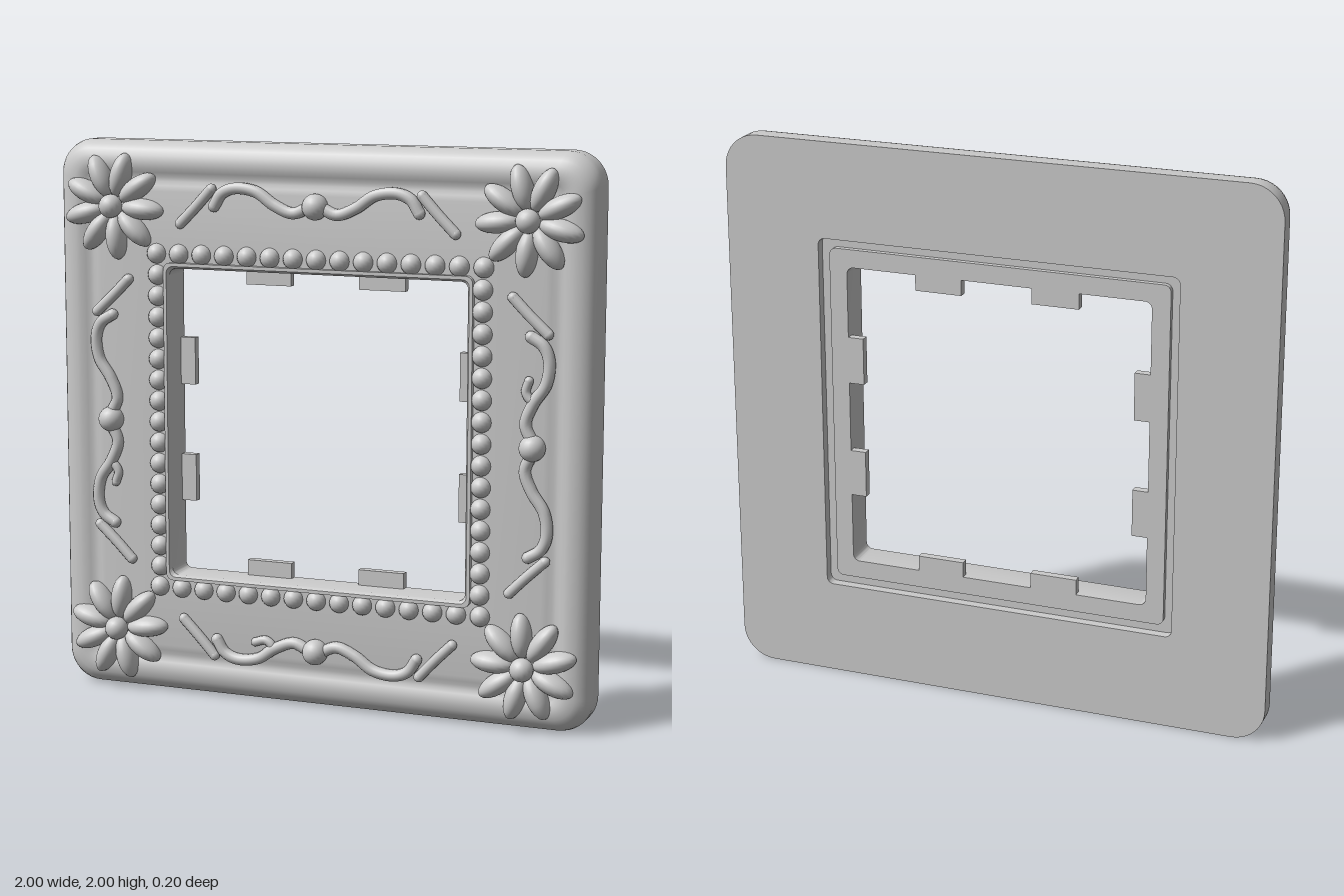
import * as THREE from 'three';
import { toCreasedNormals } from 'three/addons/utils/BufferGeometryUtils.js';

const material = new THREE.MeshStandardMaterial({ color: 0xcccccc });

function add(parent, name, geometry, x = 0, y = 0, z = 0) {
  const mesh = new THREE.Mesh(geometry, material);
  mesh.name = name;
  mesh.position.set(x, y, z);
  parent.add(mesh);
  return mesh;
}

// Counter-clockwise rounded square of half size h and corner radius r
function roundedSquare(h, r, z, steps = 10) {
  const points = [];
  for (let c = 0; c < 4; c++) {
    const sx = c === 0 || c === 3 ? 1 : -1, sy = c < 2 ? 1 : -1;
    for (let s = 0; s <= steps; s++) {
      const a = (c + s / steps) * Math.PI / 2;
      points.push([sx * (h - r) + r * Math.cos(a), sy * (h - r) + r * Math.sin(a), z]);
    }
  }
  return points;
}

// Closed moulding: a [half size, z] cross-section carried round the frame
function frameGeometry(profile) {
  const rings = profile.map(([h, z]) => roundedSquare(h, Math.max(0.025, 0.12 - (1 - h) * 0.7), z));
  const n = rings[0].length, pos = [];
  rings.forEach((ring, i) => {
    const next = rings[(i + 1) % rings.length];
    for (let j = 0; j < n; j++) {
      const k = (j + 1) % n;
      pos.push(...ring[j], ...ring[k], ...next[j], ...ring[k], ...next[k], ...next[j]);
    }
  });
  const g = new THREE.BufferGeometry();
  g.setAttribute('position', new THREE.Float32BufferAttribute(pos, 3));
  return toCreasedNormals(g, 0.6);
}

// Round rod through [u, v] points with domed ends
function vine(parent, name, points, radius) {
  const z = 0.034;
  const curve = new THREE.CatmullRomCurve3(points.map(([u, v]) => new THREE.Vector3(u, v, z)));
  add(parent, name, new THREE.TubeGeometry(curve, 36, radius, 10));
  for (const [u, v] of [points[0], points[points.length - 1]])
    add(parent, name + 'End', new THREE.SphereGeometry(radius, 12, 8), u, v, z);
}

// Nine-petalled corner blossom
function blossom() {
  const flower = new THREE.Group();
  flower.name = 'cornerFlower';
  for (let i = 0; i < 9; i++) {
    const a = i * Math.PI * 2 / 9;
    const petal = add(flower, 'petal', new THREE.SphereGeometry(1, 20, 14),
      0.113 * Math.cos(a), 0.113 * Math.sin(a), 0.03);
    petal.scale.set(0.08, 0.037, 0.05);
    petal.rotation.z = a;
  }
  add(flower, 'flowerCentre', new THREE.SphereGeometry(0.042, 20, 14), 0, 0, 0.058);
  return flower;
}

export function createModel() {
  const model = new THREE.Group();
  model.name = 'ornateFrame';
  const body = new THREE.Group();
  body.name = 'frame';
  body.position.y = 1;
  model.add(body);

  // Plate: back groove, rounded outer rim, cove, flat field and window lip
  add(body, 'plate', frameGeometry([
    [0.555, -0.09], [0.62, -0.09], [0.62, -0.07], [0.655, -0.07], [0.655, -0.105], [1, -0.105],
    [1, -0.04], [0.995, -0.02], [0.985, -0.003], [0.97, 0.012], [0.95, 0.022], [0.925, 0.027],
    [0.905, 0.025], [0.89, 0.019], [0.875, 0.013], [0.86, 0.013], [0.845, 0.018], [0.825, 0.022],
    [0.575, 0.022], [0.575, 0.042], [0.563, 0.042], [0.555, 0.03],
  ]));

  // Beads around the window
  const bead = new THREE.SphereGeometry(0.036, 16, 12);
  for (const side of [-1, 1]) {
    for (let i = 0; i < 15; i++) add(body, 'bead', bead, -0.608 + i * 1.216 / 14, side * 0.605, 0.02);
    for (let i = 1; i < 16; i++) add(body, 'bead', bead, side * 0.605, -0.605 + i * 1.21 / 16, 0.02);
  }

  // Corner flowers
  for (const sx of [-1, 1]) for (const sy of [-1, 1]) {
    const flower = blossom();
    flower.position.set(sx * 0.77, sy * 0.77, 0);
    flower.rotation.z = Math.atan2(sy, sx) + Math.PI / 9;
    body.add(flower);
  }

  // Scrollwork and window tabs, repeated on the four sides
  const curlSides = [0, -1, 1, -1];
  for (let q = 0; q < 4; q++) {
    const side = new THREE.Group();
    side.name = 'side';
    side.rotation.z = q * Math.PI / 2;
    body.add(side);
    add(side, 'scrollBall', new THREE.SphereGeometry(0.046, 20, 14), 0, 0.79, 0.035);
    for (const s of [-1, 1]) {
      const mirrored = (pts) => pts.map(([u, v]) => [s * u, v]);
      vine(side, 'scroll', mirrored([[0.02, 0.79], [0.08, 0.765], [0.15, 0.79], [0.22, 0.835],
        [0.3, 0.845], [0.35, 0.825], [0.38, 0.78]]), 0.021);
      vine(side, 'leafTail', mirrored([[0.39, 0.84], [0.45, 0.775], [0.51, 0.715]]), 0.019);
      if (curlSides[q] === s)
        vine(side, 'curl', mirrored([[0.23, 0.775], [0.19, 0.765], [0.165, 0.785], [0.19, 0.81]]), 0.016);
      add(side, 'tab', new THREE.BoxGeometry(0.17, 0.062, 0.03), s * 0.213, 0.53, -0.075);
    }
  }
  return model;
}
